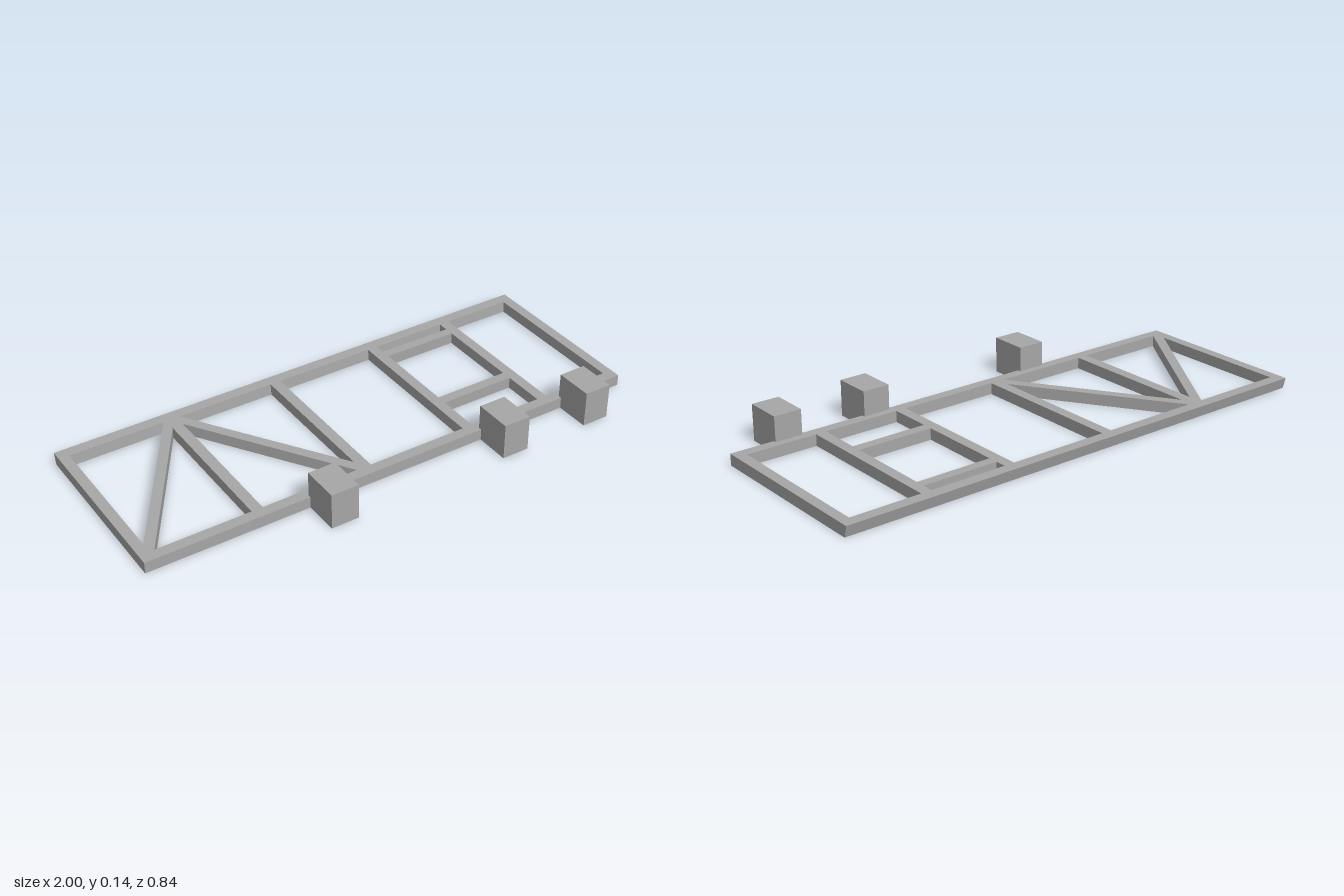
import * as THREE from 'three';

const H = 0.044;                       // timber height
const BACK = -0.378, FRONT = 0.244;    // inner edges of the two long rails

export function createModel() {
  const model = new THREE.Group();
  const grey = new THREE.MeshStandardMaterial({ color: 0xa6a6a6 });
  grey.name = 'timberGrey';

  const add = (name, geometry) => {
    const mesh = new THREE.Mesh(geometry, grey);
    mesh.name = name;
    model.add(mesh);
    return mesh;
  };

  // Box given by its extents, standing on the ground
  const box = (name, x0, x1, z0, z1, h = H) =>
    add(name, new THREE.BoxGeometry(x1 - x0, h, z1 - z0))
      .position.set((x0 + x1) / 2, h / 2, (z0 + z1) / 2);

  // Flat timber cut to a plan outline of [x, z] corners
  const plank = (name, corners) => {
    const shape = new THREE.Shape(corners.map(([x, z]) => new THREE.Vector2(x, -z)));
    const geometry = new THREE.ExtrudeGeometry(shape, { depth: H, bevelEnabled: false });
    add(name, geometry.rotateX(-Math.PI / 2));
  };

  // Long rails: square at the front, leaning outward at the back
  box('frontRail', -1, 1, FRONT, 0.286);
  const profile = [[-0.422, H], [-0.41, 0], [-0.374, 0], [BACK, H]];
  const backShape = new THREE.Shape(profile.map(([z, y]) => new THREE.Vector2(-z, y)));
  const backRail = new THREE.ExtrudeGeometry(backShape, { depth: 2, bevelEnabled: false });
  add('backRail', backRail.rotateY(Math.PI / 2).translate(-1, 0, 0));

  // End posts and intermediate studs
  const studs = [
    ['rightEndPost', -1, -0.96], ['stud1', -0.577, -0.534], ['stud2', -0.138, -0.096],
    ['stud3', 0.301, 0.342], ['stud4', 0.643, 0.684], ['leftEndPost', 0.96, 1],
  ];
  for (const [name, x0, x1] of studs) box(name, x0, x1, BACK, FRONT);

  // Window opening cross pieces
  box('windowHeader', 0.342, 0.643, -0.335, -0.298);
  box('windowSill', 0.342, 0.643, 0.036, 0.076);

  // Diagonal braces, mitred into the corners
  plank('rightBrace', [[-0.96, 0.244], [-0.942, 0.244], [-0.577, -0.328],
    [-0.577, BACK], [-0.588, BACK], [-0.96, 0.2]]);
  plank('leftBrace', [[-0.138, 0.244], [-0.155, 0.244], [-0.534, -0.33],
    [-0.534, BACK], [-0.521, BACK], [-0.138, 0.2]]);

  // Supporting blocks along the front
  [-0.316, 0.407, 0.776].forEach((x, i) =>
    box('block' + (i + 1), x - 0.054, x + 0.054, 0.273, 0.422, 0.14));

  return model;
}
